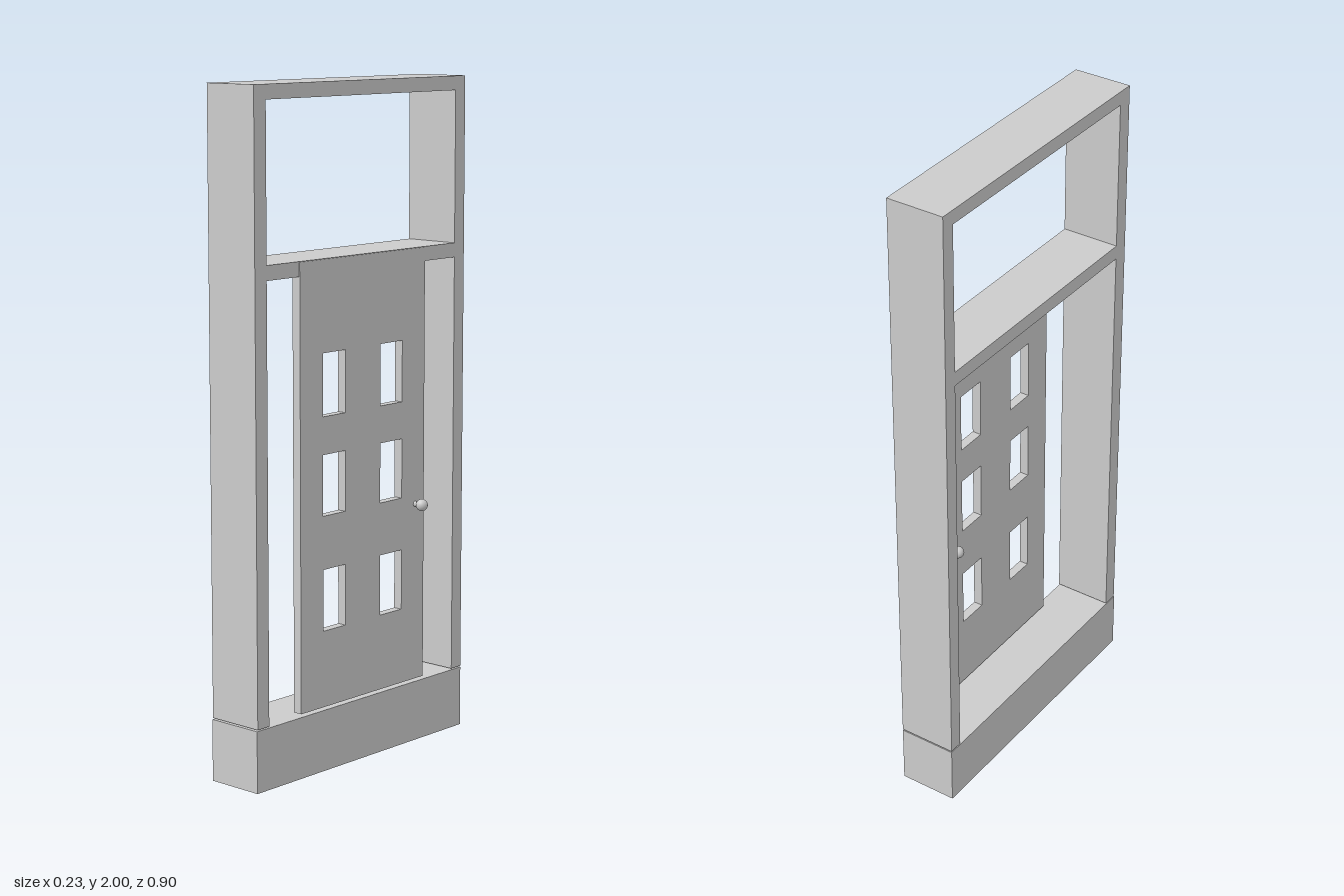
import * as THREE from 'three';

const grey = new THREE.MeshStandardMaterial({ color: 0xcccccc });
const BACK = -0.113, FRONT = 0.066;

export function createModel() {
  const model = new THREE.Group();
  model.name = 'doorway';

  const add = (name, geometry, parent = model) => {
    const mesh = new THREE.Mesh(geometry, grey);
    mesh.name = name;
    parent.add(mesh);
    return mesh;
  };

  // Frame members share the full wall depth along x
  const member = (name, y0, y1, z0, z1) => {
    const box = new THREE.BoxGeometry(FRONT - BACK, y1 - y0, z1 - z0);
    add(name, box).position.set((BACK + FRONT) / 2, (y0 + y1) / 2, (z0 + z1) / 2);
  };
  member('doorstep', 0, 0.184, -0.451, 0.454);
  member('leftPost', 0.188, 2, 0.404, 0.451);
  member('rightPost', 0.188, 2, -0.451, -0.407);
  member('topBeam', 1.958, 2, -0.407, 0.404);
  member('transomBeam', 1.462, 1.505, -0.407, 0.404);

  // Door leaf with six window openings, drawn in z/y and extruded along x
  const rect = (path, z0, z1, y0, y1) => {
    path.moveTo(z0, y0);
    path.lineTo(z1, y0);
    path.lineTo(z1, y1);
    path.lineTo(z0, y1);
    path.closePath();
    return path;
  };
  const doorFront = 0.068, doorDepth = 0.028;
  const leaf = rect(new THREE.Shape(), -0.268, 0.273, 0.195, 1.503);
  for (const [y0, y1] of [[0.423, 0.605], [0.763, 0.942], [1.053, 1.236]]) {
    for (const [z0, z1] of [[0.083, 0.178], [-0.167, -0.07]]) {
      leaf.holes.push(rect(new THREE.Path(), z0, z1, y0, y1));
    }
  }
  const leafGeometry = new THREE.ExtrudeGeometry(leaf, { depth: doorDepth, bevelEnabled: false });
  leafGeometry.rotateY(-Math.PI / 2);
  add('doorLeaf', leafGeometry).position.x = doorFront;

  // A knob on a short stem on each face of the door
  for (const side of [1, -1]) {
    const knob = new THREE.Group();
    knob.name = side > 0 ? 'outerKnob' : 'innerKnob';
    const stem = new THREE.CylinderGeometry(0.008, 0.008, 0.03, 20);
    stem.rotateZ(Math.PI / 2);
    add('knobStem', stem, knob).position.x = side * 0.025;
    add('knobBall', new THREE.SphereGeometry(0.018, 24, 16), knob).position.x = side * 0.041;
    knob.position.set(doorFront - doorDepth / 2, 0.736, -0.228);
    model.add(knob);
  }

  return model;
}
